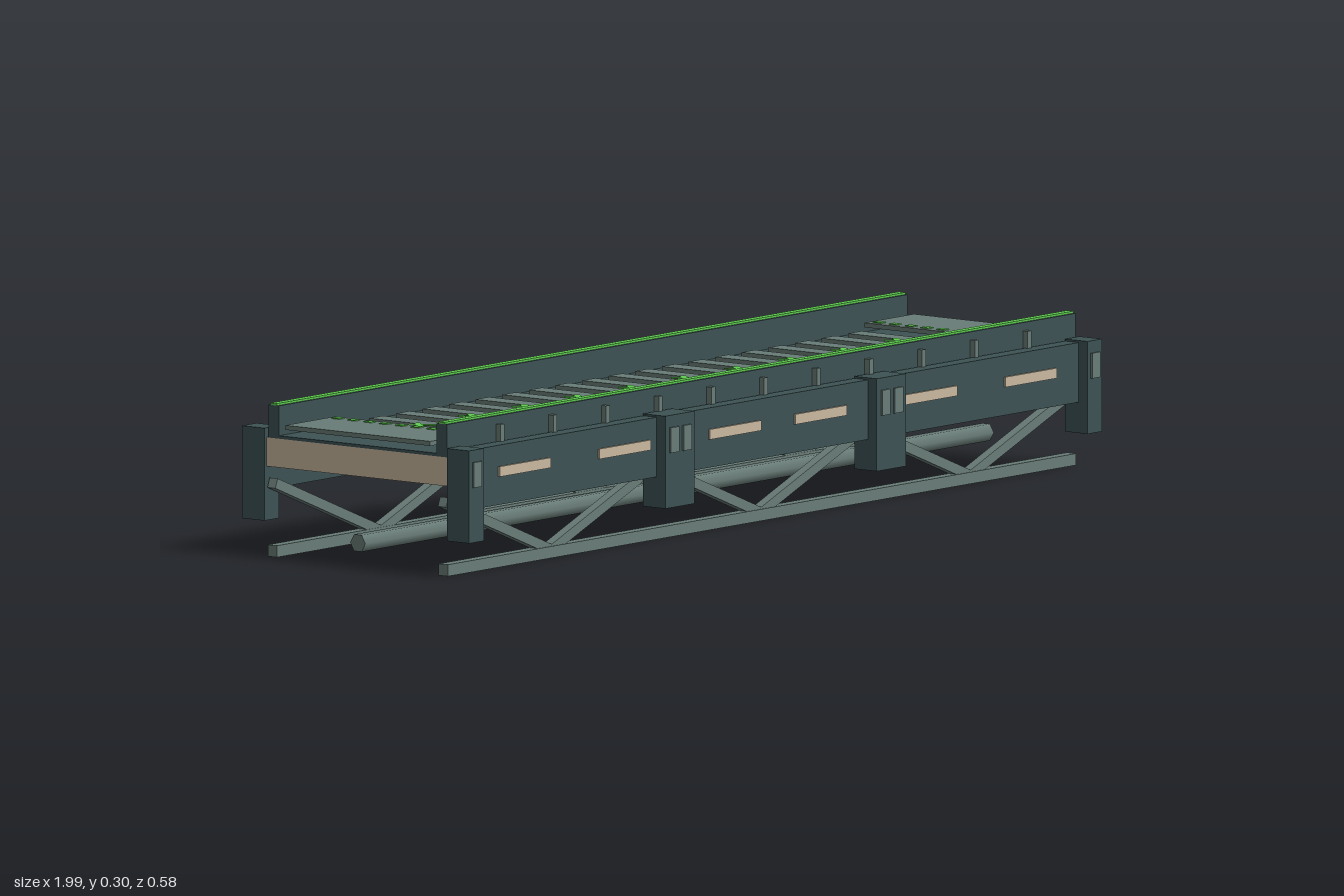
import * as THREE from 'three';

const mat = (name, color) => {
  const m = new THREE.MeshStandardMaterial({ color });
  m.name = name;
  return m;
};

export function createModel() {
  const dark = mat('dark teal', 0x3d5254);
  const grey = mat('grey green', 0x697c77);
  const beige = mat('beige', 0xc9b9a0);
  const green = mat('bright green', 0x5fce50);

  const model = new THREE.Group();
  model.name = 'bridge';

  // Box given by its extents on each axis
  const box = (name, m, [x0, x1], [y0, y1], [z0, z1], parent = model) => {
    const mesh = new THREE.Mesh(new THREE.BoxGeometry(x1 - x0, y1 - y0, z1 - z0), m);
    mesh.position.set((x0 + x1) / 2, (y0 + y1) / 2, (z0 + z1) / 2);
    mesh.name = name;
    parent.add(mesh);
    return mesh;
  };
  const around = (c, w) => [c - w / 2, c + w / 2];
  const full = [-0.99, 0.99];

  // Deck
  box('deckSlab', beige, full, [0.178, 0.235], [-0.233, 0.233]);
  box('deckSurface', dark, full, [0.235, 0.241], [-0.2, 0.2]);
  for (let i = 0; i < 20; i++) {
    box('deckSlat', grey, around((i - 9.5) * 0.0838, 0.042), [0.241, 0.249], [-0.175, 0.175]);
  }

  // Crossed chevron markers along the centre line
  const armLength = Math.hypot(0.05, 0.054);
  for (let i = 0; i < 10; i++) {
    const marker = new THREE.Group();
    marker.name = 'chevronMarker';
    marker.position.set((i - 4.5) * 0.1676, 0.249, 0);
    for (const sx of [-1, 1]) for (const sz of [-1, 1]) {
      const arm = box('chevronArm', green, around(0, armLength), [0, 0.002], around(0, 0.013), marker);
      arm.position.set(sx * 0.007, 0.001, sz * 0.027);
      arm.rotation.y = sx * sz * Math.atan2(0.054, 0.05);
    }
    model.add(marker);
  }

  // End plates with dashed lines
  for (const s of [-1, 1]) {
    box('endPlate', grey, around(s * 0.912, 0.156), [0.254, 0.263], [-0.181, 0.181]);
    for (let i = -4; i <= 4; i++) {
      box('plateDash', green, around(s * 0.853, 0.016), [0.263, 0.265], around(i * 0.0395, 0.019));
    }
  }

  // Central pipe under the deck
  const pipe = new THREE.Mesh(new THREE.CylinderGeometry(0.019, 0.019, 1.98, 6), grey);
  pipe.geometry.rotateZ(Math.PI / 2);
  pipe.geometry.rotateX(Math.PI / 2);
  pipe.geometry.computeBoundingBox();
  // Keep a flat side on top
  const size = pipe.geometry.boundingBox.getSize(new THREE.Vector3());
  if (size.y > size.z) pipe.geometry.rotateX(Math.PI / 6);
  pipe.position.y = 0.046;
  pipe.name = 'pipe';
  model.add(pipe);

  // Both long sides
  for (const s of [-1, 1]) {
    const side = new THREE.Group();
    side.name = s > 0 ? 'frontSide' : 'backSide';
    model.add(side);
    const z = (a, b) => (s > 0 ? [a, b] : [-b, -a]);

    // Parapet, trim and ribs
    box('parapet', dark, full, [0.235, 0.3], z(0.197, 0.223), side);
    box('parapetTrim', green, full, [0.3, 0.304], z(0.202, 0.218), side);
    for (let i = -5; i <= 5; i++) {
      box('parapetRib', grey, around(i * 0.166, 0.012), [0.235, 0.284], z(0.223, 0.235), side);
    }

    // Fascia panels with inset strips
    for (const [a, b] of [[-0.98, -0.34], [-0.33, 0.33], [0.34, 0.98]]) {
      box('fasciaPanel', dark, [a, b], [0.132, 0.25], z(0.228, 0.262), side);
    }
    for (const x of [-0.797, -0.483, -0.135, 0.135, 0.483, 0.797]) {
      box('fasciaStrip', beige, around(x, 0.162), [0.188, 0.208], z(0.262, 0.266), side);
    }

    // Posts and their small plates
    for (const x of [-0.333, 0.333]) {
      box('post', dark, around(x, 0.092), [0.071, 0.254], z(0.228, 0.284), side);
      for (const d of [-0.02, 0.02]) {
        box('postPlate', grey, around(x + d, 0.026), [0.18, 0.23], z(0.284, 0.288), side);
      }
    }
    for (const x of [-0.974, 0.974]) {
      box('endPost', dark, around(x, 0.046), [0.071, 0.254], z(0.228, 0.284), side);
      box('postPlate', grey, around(x, 0.026), [0.18, 0.23], z(0.284, 0.288), side);
    }

    // Truss: bottom chord and zigzag braces
    box('bottomChord', grey, full, [0, 0.023], z(0.202, 0.225), side);
    const dx = 0.33, dy = 0.13;
    for (let i = 0; i < 6; i++) {
      const rise = i % 2 ? 1 : -1;
      const brace = box('brace', grey, around(0, Math.hypot(dx, dy)), around(0, 0.02), z(0.203, 0.223), side);
      brace.position.x = (i - 2.5) * dx;
      brace.position.y = 0.081;
      brace.rotation.z = rise * Math.atan2(dy, dx);
    }
  }
  return model;
}
